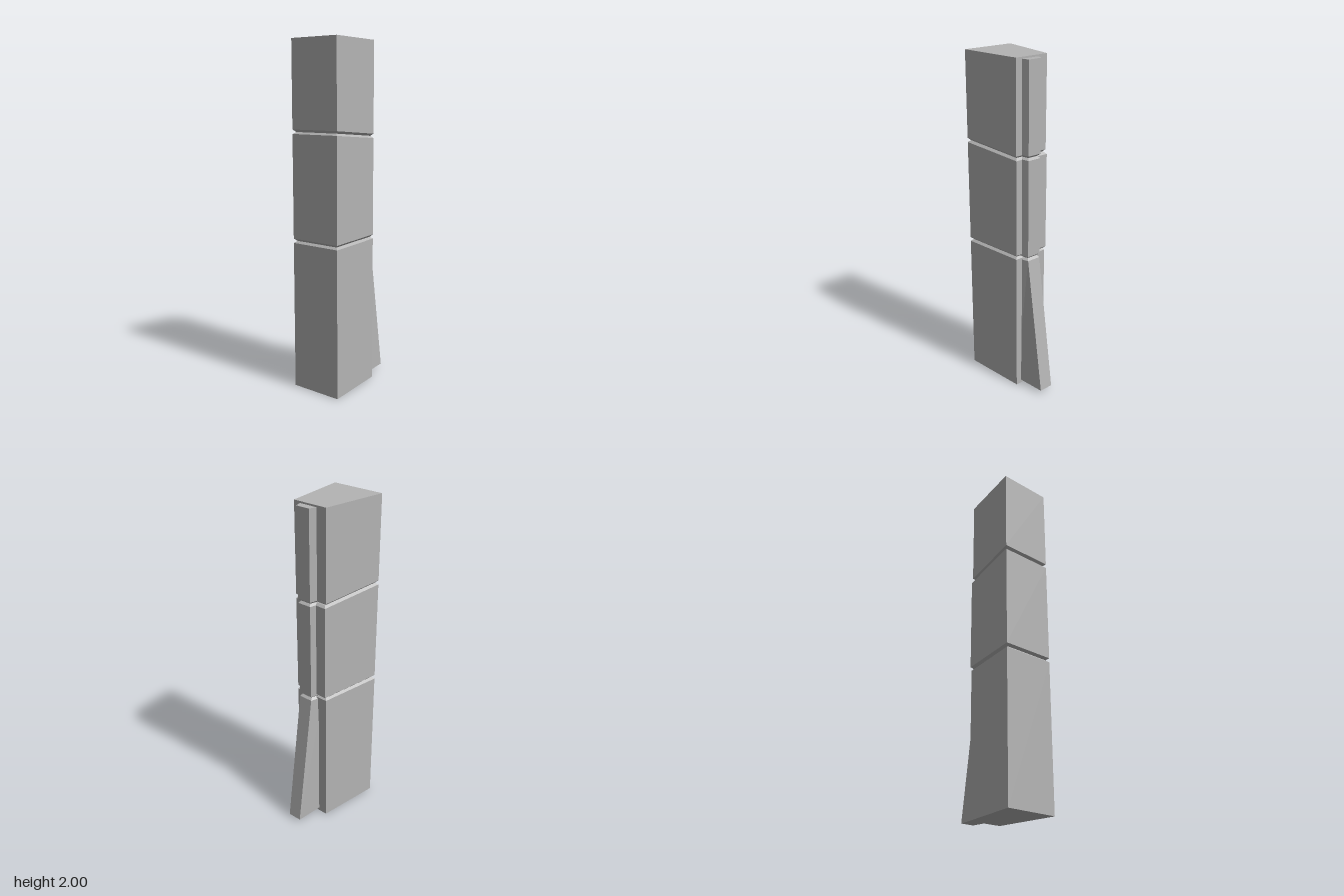
import * as THREE from 'three';

// Plan outlines as [x, z], counter-clockwise seen from above, starting front left
const plan = (backBulge) => [[-0.16, 0.273], [0.16, 0.273], [0.12, -0.108], [-0.094, -0.108 - backBulge]];
const ribPlan = (backZ) => [[-0.042, -0.075], [0.089, -0.075], [0.068, backZ], [-0.017, backZ]];

// Moves every side of a convex outline inward by d
function inset(points, d) {
  const n = points.length;
  const normal = (i) => {
    const [ax, az] = points[i % n], [bx, bz] = points[(i + 1) % n];
    const len = Math.hypot(bx - ax, bz - az);
    return [-(bz - az) / len, (bx - ax) / len];
  };
  return points.map(([x, z], i) => {
    const a = normal(i + n - 1), b = normal(i);
    const k = d / (1 + a[0] * b[0] + a[1] * b[1]);
    return [x - (a[0] + b[0]) * k, z - (a[1] + b[1]) * k];
  });
}

// Closed flat-faced solid through rings { outline, y(z) }, bottom to top
function loft(rings) {
  const pts = rings.map(({ outline, y }) => outline.map(([x, z]) => [x, y(z), z]));
  const pos = [];
  const quad = (a, b, c, d) => pos.push(...a, ...b, ...c, ...a, ...c, ...d);
  for (let r = 0; r < pts.length - 1; r++) {
    for (let i = 0; i < 4; i++) {
      const j = (i + 1) % 4;
      quad(pts[r][i], pts[r][j], pts[r + 1][j], pts[r + 1][i]);
    }
  }
  const bottom = pts[0], top = pts[pts.length - 1];
  quad(bottom[3], bottom[2], bottom[1], bottom[0]);
  quad(...top);
  const geometry = new THREE.BufferGeometry();
  geometry.setAttribute('position', new THREE.Float32BufferAttribute(pos, 3));
  geometry.computeVertexNormals();
  return geometry;
}

const flat = (y) => () => y;
// The upper joint slopes down towards the back
const sloped = (y) => (z) => y - 0.03 * Math.min(1, (0.273 - z) / 0.381);
const BEVEL = 0.014;

// One block: bevelled at whichever ends meet a joint
function block(low, high, y0, y1, bevelLow, bevelHigh, at0, at1) {
  const rings = [];
  if (bevelLow) rings.push({ outline: inset(low, BEVEL), y: at0(y0 - 0.013) });
  rings.push({ outline: low, y: at0(y0) }, { outline: high, y: at1(y1) });
  if (bevelHigh) rings.push({ outline: inset(high, BEVEL), y: at1(y1 + 0.012) });
  return loft(rings);
}

export function createModel() {
  const model = new THREE.Group();
  const stone = new THREE.MeshStandardMaterial({ color: 0xb4b4b4 });
  stone.name = 'greyStone';
  const add = (name, geometry) => {
    const mesh = new THREE.Mesh(geometry, stone);
    mesh.name = name;
    model.add(mesh);
  };

  // Three stacked pillar blocks
  const body = plan(0), middle = plan(0.01);
  add('lowerBlock', block(body, body, 0, 0.86, false, true, flat, flat));
  add('middleBlock', block(middle, middle, 0.885, 1.48, true, true, flat, sloped));
  add('upperBlock', block(body, body, 1.505, 2, true, false, sloped, flat));

  // Rear rib, flaring out into a buttress at the foot
  const rib = ribPlan(-0.15);
  add('buttress', block(ribPlan(-0.273), rib, 0.02, 0.85, false, true, flat, flat));
  add('middleRib', block(rib, rib, 0.875, 1.48, true, true, flat, sloped));
  add('upperRib', block(rib, rib, 1.505, 1.99, true, false, sloped, flat));
  return model;
}
